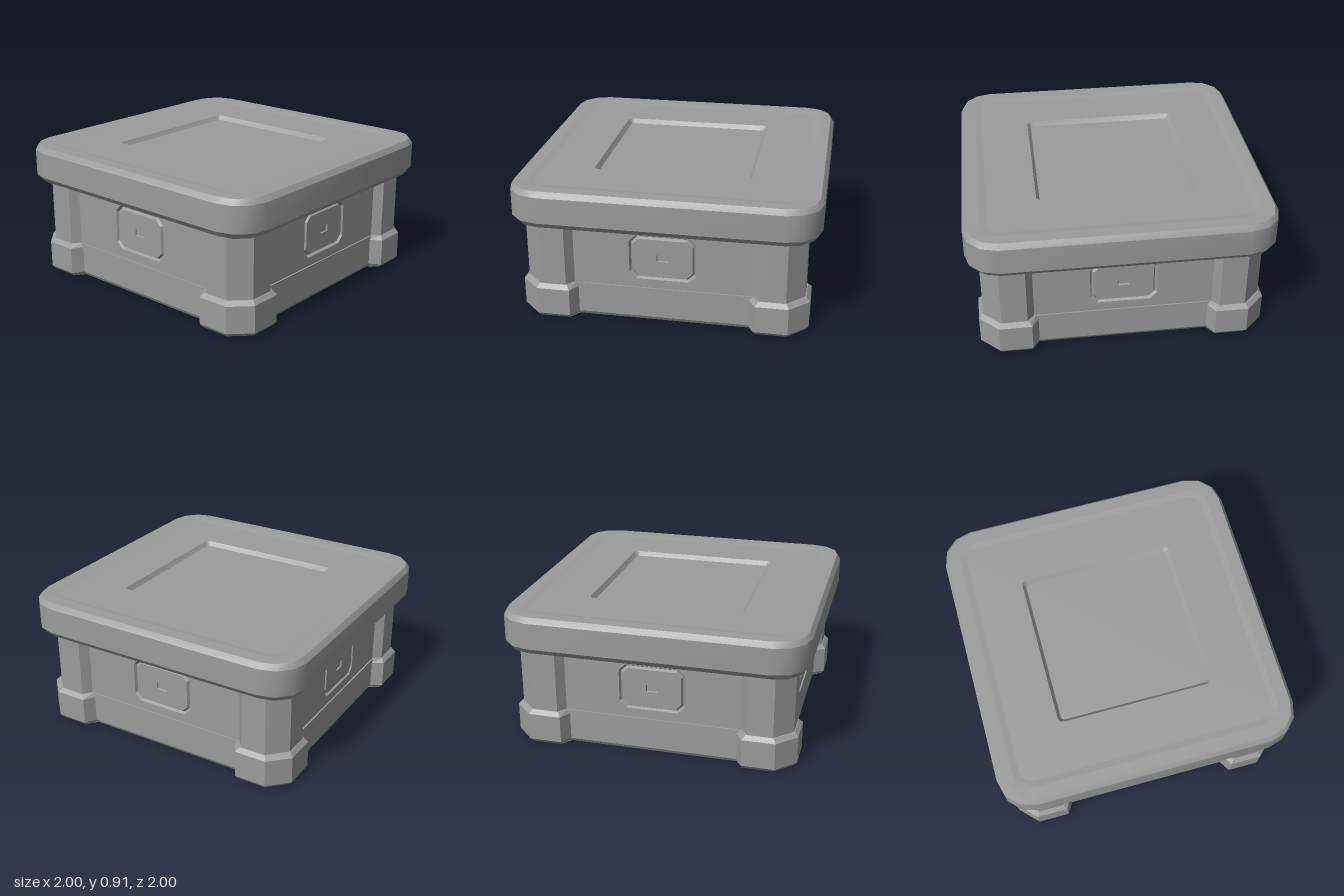
import * as THREE from 'three';
import { toCreasedNormals } from 'three/addons/utils/BufferGeometryUtils.js';

// Skin a stack of equal-length [x, z] loops at given heights, closed at both ends
function loft(rings) {
  const pos = [], idx = [], n = rings[0].loop.length;
  for (const { y, loop } of rings) for (const [x, z] of loop) pos.push(x, y, z);
  for (let r = 0; r < rings.length - 1; r++) {
    for (let i = 0; i < n; i++) {
      const a = r * n + i, b = r * n + (i + 1) % n;
      idx.push(a, b, b + n, a, b + n, a + n);
    }
  }
  const low = pos.length / 3, high = low + 1, last = (rings.length - 1) * n;
  pos.push(0, rings[0].y, 0, 0, rings[rings.length - 1].y, 0);
  for (let i = 0; i < n; i++) {
    const j = (i + 1) % n;
    idx.push(low, j, i, high, last + i, last + j);
  }
  const g = new THREE.BufferGeometry();
  g.setAttribute('position', new THREE.Float32BufferAttribute(pos, 3));
  g.setIndex(idx);
  return g;
}

// Repeat one corner's points around all four corners
function fourfold(corner) {
  const out = [];
  let pts = corner;
  for (let k = 0; k < 4; k++) {
    out.push(...pts);
    pts = pts.map(([x, z]) => [z, -x]);
  }
  return out;
}

// Square with rounded corners
function roundedSquare(half, r, segments = 3) {
  const pts = [];
  for (let i = 0; i <= segments; i++) {
    const a = (i / segments) * Math.PI / 2;
    pts.push([half - r + r * Math.sin(a), half - r + r * Math.cos(a)]);
  }
  return fourfold(pts);
}

// Square wall with a projecting, chamfered pier at each corner
function pierOutline(out, chamfer, flat, foot, wall) {
  return fourfold([[foot, wall], [flat, out], [chamfer, out],
    [out, chamfer], [out, flat], [wall, foot]]);
}

// Rectangle with cut corners
function octagon(w, h, c) {
  return [[-w + c, h], [w - c, h], [w, h - c], [w, -h + c],
    [w - c, -h], [-w + c, -h], [-w, -h + c], [-w, h - c]];
}

export function createModel() {
  const group = new THREE.Group();
  const color = 0x9c9c9c;
  const flat = new THREE.MeshStandardMaterial({ color, flatShading: true });
  const smooth = new THREE.MeshStandardMaterial({ color });
  const add = (name, geometry, material) => {
    const mesh = new THREE.Mesh(geometry, material);
    mesh.name = name;
    group.add(mesh);
    return mesh;
  };

  // Plinth band with chamfered corner feet, rising into the corner piers
  add('body', loft([
    { y: 0, loop: pierOutline(0.925, 0.81, 0.61, 0.57, 0.855) },
    { y: 0.025, loop: pierOutline(0.945, 0.82, 0.605, 0.56, 0.87) },
    { y: 0.208, loop: pierOutline(0.945, 0.82, 0.605, 0.56, 0.87) },
    { y: 0.235, loop: pierOutline(0.92, 0.805, 0.625, 0.58, 0.87) },
    { y: 0.235, loop: pierOutline(0.915, 0.8, 0.632, 0.562, 0.83) },
    { y: 0.68, loop: pierOutline(0.915, 0.8, 0.632, 0.562, 0.83) },
  ]), flat);

  // Bevelled top slab with a shallow dished border and a square recess
  const slab = loft([
    [0.662, 0.97, 0.19], [0.7, 1, 0.22], [0.875, 1, 0.22], [0.91, 0.975, 0.195],
    [0.91, 0.894, 0.11], [0.91, 0.89, 0.11], [0.9, 0.85, 0.08], [0.9, 0.846, 0.08],
    [0.9, 0.522, 0.035], [0.87, 0.5, 0.025],
  ].map(([y, half, r]) => ({ y, loop: roundedSquare(half, r) })));
  add('topSlab', toCreasedNormals(slab, 0.57), smooth);

  // Wall between the piers, opened for the panel
  const panelY = 0.45;
  const toVectors = (pts) => pts.map(([x, y]) => new THREE.Vector2(x, y));
  const wallShape = new THREE.Shape(toVectors([
    [-0.587, 0.235], [0.587, 0.235], [0.587, 0.68], [-0.587, 0.68]]));
  wallShape.holes.push(new THREE.Path(
    toVectors(octagon(0.218, 0.154, 0.045).map(([x, y]) => [x, y + panelY]))));
  const wall = new THREE.ShapeGeometry(wallShape).translate(0, 0, 0.86);

  // Panel set in a narrow groove, with a small central slot
  const panel = loft([
    [-0.025, 0.218, 0.154, 0.045], [0, 0.218, 0.154, 0.045], [-0.018, 0.208, 0.144, 0.042],
    [-0.018, 0.204, 0.14, 0.041], [0, 0.194, 0.13, 0.038],
    [0, 0.038, 0.024, 0.001], [-0.01, 0.034, 0.02, 0.001],
  ].map(([y, w, h, c]) => ({ y, loop: octagon(w, h, c) })));
  panel.rotateX(Math.PI / 2).translate(0, panelY, 0.86);

  ['front', 'left', 'back', 'right'].forEach((side, i) => {
    add(side + 'Wall', wall, flat).rotation.y = i * Math.PI / 2;
    add(side + 'Panel', panel, flat).rotation.y = i * Math.PI / 2;
  });

  return group;
}
